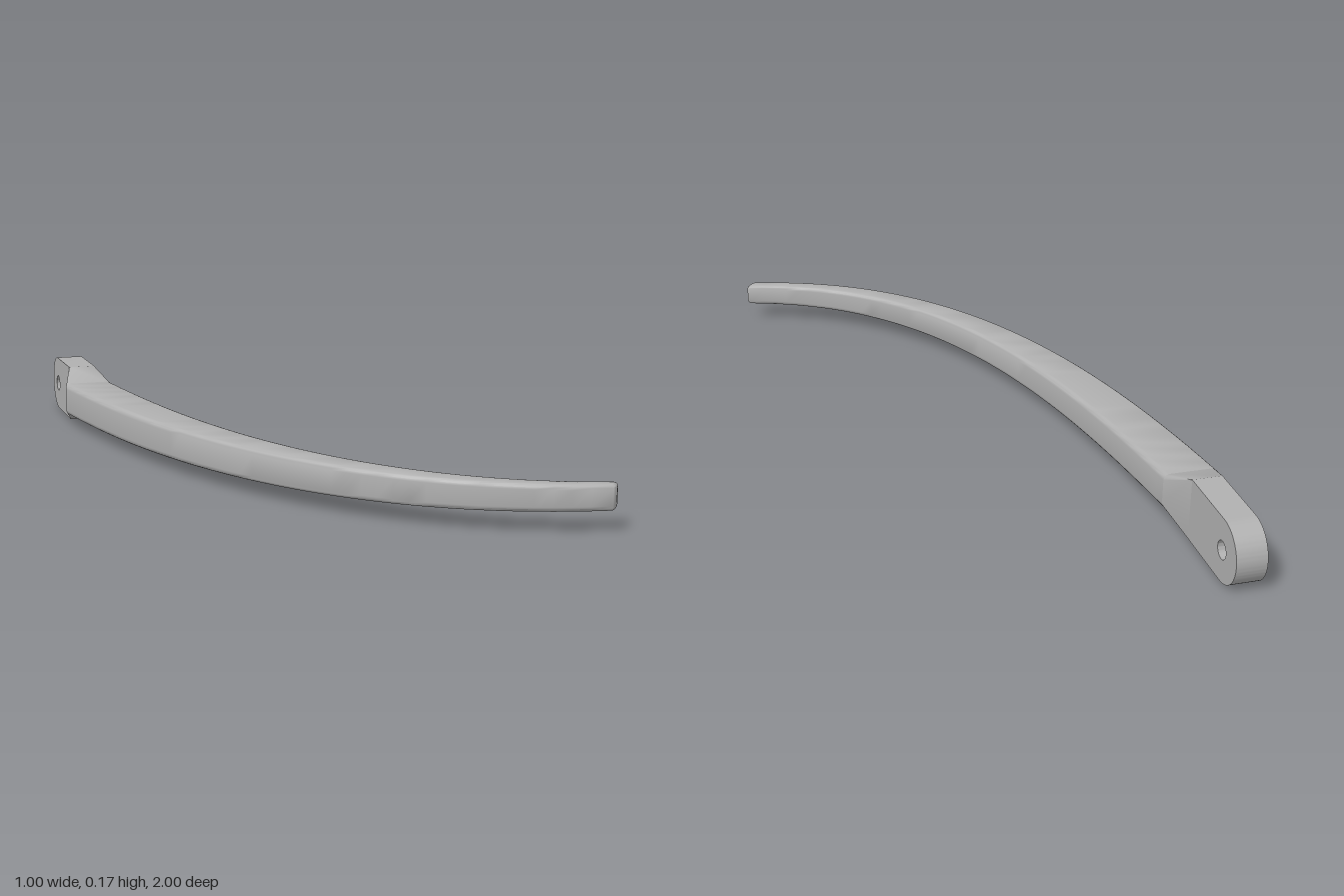
import * as THREE from 'three';
import { toCreasedNormals } from 'three/addons/utils/BufferGeometryUtils.js';

const MID = 0.084; // height of the centre line
const CORNER = 5;  // points per rounded corner

// Rounded rectangle spanning the plan points a (outer) and b (inner)
function ring(a, b, half, r) {
  const w = new THREE.Vector2().subVectors(b, a);
  const hw = w.length() / 2;
  w.normalize();
  const mid = new THREE.Vector2().addVectors(a, b).multiplyScalar(0.5);
  const points = [];
  [[1, -1], [1, 1], [-1, 1], [-1, -1]].forEach(([sx, sy], q) => {
    for (let k = 0; k < CORNER; k++) {
      const ang = (q - 1 + k / (CORNER - 1)) * Math.PI / 2;
      const u = sx * (hw - r) + r * Math.cos(ang);
      const v = sy * (half - r) + r * Math.sin(ang);
      points.push(new THREE.Vector3(mid.x + w.x * u, MID + v, mid.y + w.y * u));
    }
  });
  return points;
}

// Skin a list of rings, optionally closing the last one
function loft(rings, capEnd) {
  const n = rings[0].length;
  const pos = rings.flat().flatMap(p => [p.x, p.y, p.z]);
  const index = [];
  for (let i = 0; i < rings.length - 1; i++) {
    for (let j = 0; j < n; j++) {
      const a = i * n + j, b = i * n + (j + 1) % n;
      index.push(a, b, a + n, b, b + n, a + n);
    }
  }
  if (capEnd) {
    const s = (rings.length - 1) * n;
    for (let j = 1; j < n - 1; j++) index.push(s, s + j, s + j + 1);
  }
  const g = new THREE.BufferGeometry();
  g.setAttribute('position', new THREE.Float32BufferAttribute(pos, 3));
  g.setIndex(index);
  return toCreasedNormals(g, 0.65);
}

export function createModel() {
  const group = new THREE.Group();
  const metal = new THREE.MeshStandardMaterial({ color: 0xb0b0b0 });
  metal.name = 'grey metal';
  const add = (name, geometry) => {
    const mesh = new THREE.Mesh(geometry, metal);
    mesh.name = name;
    group.add(mesh);
  };
  const P = (x, z) => new THREE.Vector2(x, z);

  // Mounting tab: rounded end with a pin hole
  const shape = new THREE.Shape();
  shape.moveTo(-0.72, 0);
  shape.lineTo(-0.72, 2 * MID);
  shape.lineTo(-1 + MID, 2 * MID);
  shape.absarc(-1 + MID, MID, MID, Math.PI / 2, Math.PI * 1.5, false);
  shape.closePath();
  const hole = new THREE.Path();
  hole.absarc(-1 + MID, MID, 0.024, 0, Math.PI * 2, true);
  shape.holes.push(hole);
  const tab = new THREE.ExtrudeGeometry(shape, { depth: 0.08, bevelEnabled: false, curveSegments: 24 });
  tab.rotateY(-Math.PI / 2).translate(-0.39, 0, 0);
  add('mountingTab', toCreasedNormals(tab, 0.6));

  // Flared neck between tab and arm
  const R = 0.016;
  add('neck', loft([
    ring(P(-0.47, -0.72), P(-0.39, -0.72), MID, 0.0005),
    ring(P(-0.502, -0.62), P(-0.357, -0.62), 0.049, R),
  ], false));

  // Curved, tapering arm between an outer and an inner plan curve
  const outer = new THREE.CubicBezierCurve(P(-0.502, -0.62), P(-0.43, -0.05), P(-0.26, 0.82), P(0.46, 0.996));
  const inner = new THREE.CubicBezierCurve(P(-0.357, -0.62), P(-0.29, -0.05), P(-0.16, 0.8), P(0.488, 0.958));
  const rings = [];
  const STEPS = 48;
  for (let i = 0; i <= STEPS; i++) {
    const t = i / STEPS;
    rings.push(ring(outer.getPoint(t), inner.getPoint(t), 0.049 - 0.017 * t ** 1.6, R - 0.003 * t));
  }
  // Rounded tip
  const a = outer.getPoint(1), b = inner.getPoint(1);
  const across = b.clone().sub(a).normalize();
  const ahead = P(0.95, 0.31);
  const tipR = 0.012;
  for (let k = 1; k <= 4; k++) {
    const ang = k / 4 * Math.PI / 2;
    const inset = tipR * (1 - Math.cos(ang));
    const shift = ahead.clone().multiplyScalar(tipR * Math.sin(ang));
    rings.push(ring(
      a.clone().add(shift).addScaledVector(across, inset),
      b.clone().add(shift).addScaledVector(across, -inset),
      0.032 - inset, 0.013 - inset * 0.9));
  }
  add('curvedArm', loft(rings, true));

  return group;
}
